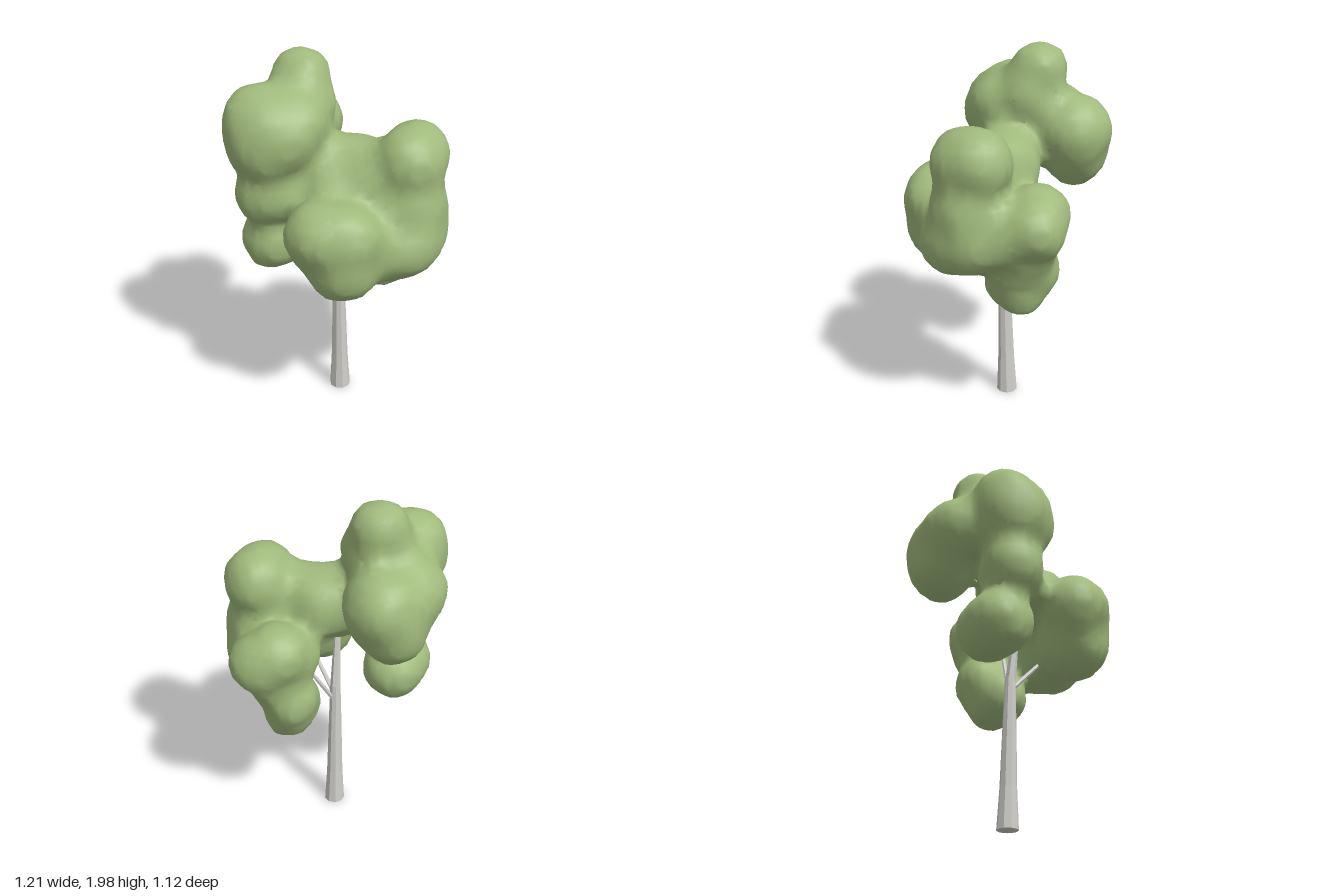
import * as THREE from 'three';

const BARK = new THREE.MeshStandardMaterial({ color: 0xcfcec9, flatShading: true });
BARK.name = 'pale bark';
const LEAF = new THREE.MeshStandardMaterial({ color: 0xa0ba7c });
LEAF.name = 'leaf green';

// Leaf clumps: x, y, z, radius
const CLUMPS = [
  // tall crown on the right, with its peak
  [-0.38, 1.57, -0.04, 0.23], [-0.27, 1.63, 0.01, 0.18], [-0.43, 1.68, -0.08, 0.16],
  [-0.16, 1.85, -0.19, 0.14], [-0.19, 1.7, -0.14, 0.19],
  // back lobes
  [-0.09, 1.52, -0.37, 0.2], [-0.27, 1.53, -0.31, 0.19], [-0.15, 1.37, -0.38, 0.17],
  // lower right side
  [-0.41, 1.27, -0.04, 0.16], [-0.27, 1.28, -0.02, 0.16], [-0.36, 0.98, -0.09, 0.17], [-0.29, 0.96, -0.15, 0.16],
  // front lobes
  [-0.22, 1.17, 0.33, 0.18], [-0.1, 1.17, 0.39, 0.17], [-0.11, 0.99, 0.36, 0.18], [0.05, 1.08, 0.3, 0.18],
  // middle mass joining everything
  [0.05, 1.38, 0.02, 0.18], [0.12, 1.36, 0.14, 0.18], [-0.07, 1.4, 0.0, 0.17], [-0.07, 1.26, 0.13, 0.17],
  // left crown
  [0.35, 1.5, 0.18, 0.16], [0.28, 1.48, 0.25, 0.18], [0.28, 1.24, 0.23, 0.21],
  [0.25, 1.05, 0.32, 0.17], [0.36, 1.07, 0.23, 0.15], [0.14, 1.0, 0.28, 0.15],
  // left back lobes
  [0.46, 1.18, -0.08, 0.15], [0.36, 1.24, -0.12, 0.14], [0.36, 1.04, -0.05, 0.15],
  [0.41, 1.13, 0.07, 0.14], [0.25, 1.17, -0.08, 0.13],
  // low hanging lobe
  [0.2, 0.8, 0.03, 0.13], [0.28, 0.77, -0.03, 0.13], [0.28, 0.9, -0.09, 0.14], [0.31, 0.92, 0.02, 0.13],
];

// Softly blended distance to all clumps, with shallow ripples
function leafDistance(x, y, z) {
  const k = 0.026;
  let sum = 0;
  for (const [cx, cy, cz, r] of CLUMPS) sum += Math.exp(-(Math.hypot(x - cx, y - cy, z - cz) - r) / k);
  return -k * Math.log(sum + 1e-30) + 0.01 * Math.sin(19 * x + 1) * Math.sin(17 * y) * Math.sin(18 * z + 2);
}

// Turns the blended clumps into one skin: a vertex per crossed cell, a quad per crossed edge
function leafGeometry() {
  const cell = 0.045, min = [-0.75, 0.5, -0.75], n = [34, 36, 34];
  const step = [1, n[0], n[0] * n[1]];
  const value = new Float32Array(n[0] * n[1] * n[2]);
  const each = (first, action) => {
    for (let k = first; k < n[2] - 1; k++)
      for (let j = first; j < n[1] - 1; j++)
        for (let i = first; i < n[0] - 1; i++) action(i + j * step[1] + k * step[2], [i, j, k]);
  };
  value.fill(1);
  each(0, (id, p) => {
    value[id] = leafDistance(...p.map((v, a) => min[a] + v * cell));
  });

  const positions = [], index = [], vertexOf = new Map();
  each(0, (id, p) => {
    const sum = [0, 0, 0];
    let count = 0;
    for (let corner = 0; corner < 8; corner++) {
      for (let a = 0; a < 3; a++) {
        if (corner & (1 << a)) continue;
        const o = [corner & 1, (corner >> 1) & 1, (corner >> 2) & 1];
        const from = id + o[0] * step[0] + o[1] * step[1] + o[2] * step[2];
        const v0 = value[from], v1 = value[from + step[a]];
        if ((v0 < 0) === (v1 < 0)) continue;
        o[a] = v0 / (v0 - v1);
        o.forEach((v, b) => { sum[b] += v; });
        count++;
      }
    }
    if (!count) return;
    vertexOf.set(id, positions.length / 3);
    positions.push(...sum.map((s, a) => min[a] + (p[a] + s / count) * cell));
  });
  each(1, (id) => {
    for (let a = 0; a < 3; a++) {
      const inside = value[id] < 0;
      if (inside === value[id + step[a]] < 0) continue;
      const b = step[(a + 1) % 3], c = step[(a + 2) % 3];
      const q = [id - b - c, id - c, id, id - b].map((v) => vertexOf.get(v));
      if (!inside) q.reverse();
      index.push(q[0], q[1], q[2], q[0], q[2], q[3]);
    }
  });

  const geometry = new THREE.BufferGeometry();
  geometry.setAttribute('position', new THREE.Float32BufferAttribute(positions, 3));
  geometry.setIndex(index);
  geometry.computeVertexNormals();
  return geometry;
}

// Tapered straight branch between two points
function branch(name, from, to, r0, r1) {
  const a = new THREE.Vector3(...from), b = new THREE.Vector3(...to);
  const dir = b.clone().sub(a);
  const mesh = new THREE.Mesh(new THREE.CylinderGeometry(r1, r0, dir.length(), 6), BARK);
  mesh.position.copy(a).add(b).multiplyScalar(0.5);
  mesh.quaternion.setFromUnitVectors(new THREE.Vector3(0, 1, 0), dir.normalize());
  mesh.name = name;
  return mesh;
}

export function createModel() {
  const tree = new THREE.Group();
  tree.name = 'tree';

  // Trunk: flared foot, slight lean
  const profile = [[0, 0], [0.058, 0], [0.046, 0.22], [0.036, 0.6], [0.029, 0.82]];
  const trunkGeometry = new THREE.LatheGeometry(profile.map(([r, y]) => new THREE.Vector2(r, y)), 9);
  const p = trunkGeometry.attributes.position;
  for (let i = 0; i < p.count; i++) {
    const t = p.getY(i) / 0.82;
    p.setX(i, p.getX(i) - 0.016 - 0.012 * t);
    p.setZ(i, p.getZ(i) + 0.008 + 0.014 * t);
  }
  trunkGeometry.computeVertexNormals();
  const trunk = new THREE.Mesh(trunkGeometry, BARK);
  trunk.name = 'trunk';
  tree.add(trunk);

  // Branches reaching into the leaves
  tree.add(
    branch('upperTrunk', [-0.028, 0.8, 0.022], [-0.06, 1.2, 0.06], 0.029, 0.014),
    branch('leftBranch', [-0.02, 0.72, 0.02], [0.2, 1.08, 0.02], 0.015, 0.01),
    branch('frontBranch', [-0.025, 0.76, 0.03], [0.03, 1.0, 0.25], 0.014, 0.009),
  );

  const leaves = new THREE.Mesh(leafGeometry(), LEAF);
  leaves.name = 'leaves';
  tree.add(leaves);
  return tree;
}
